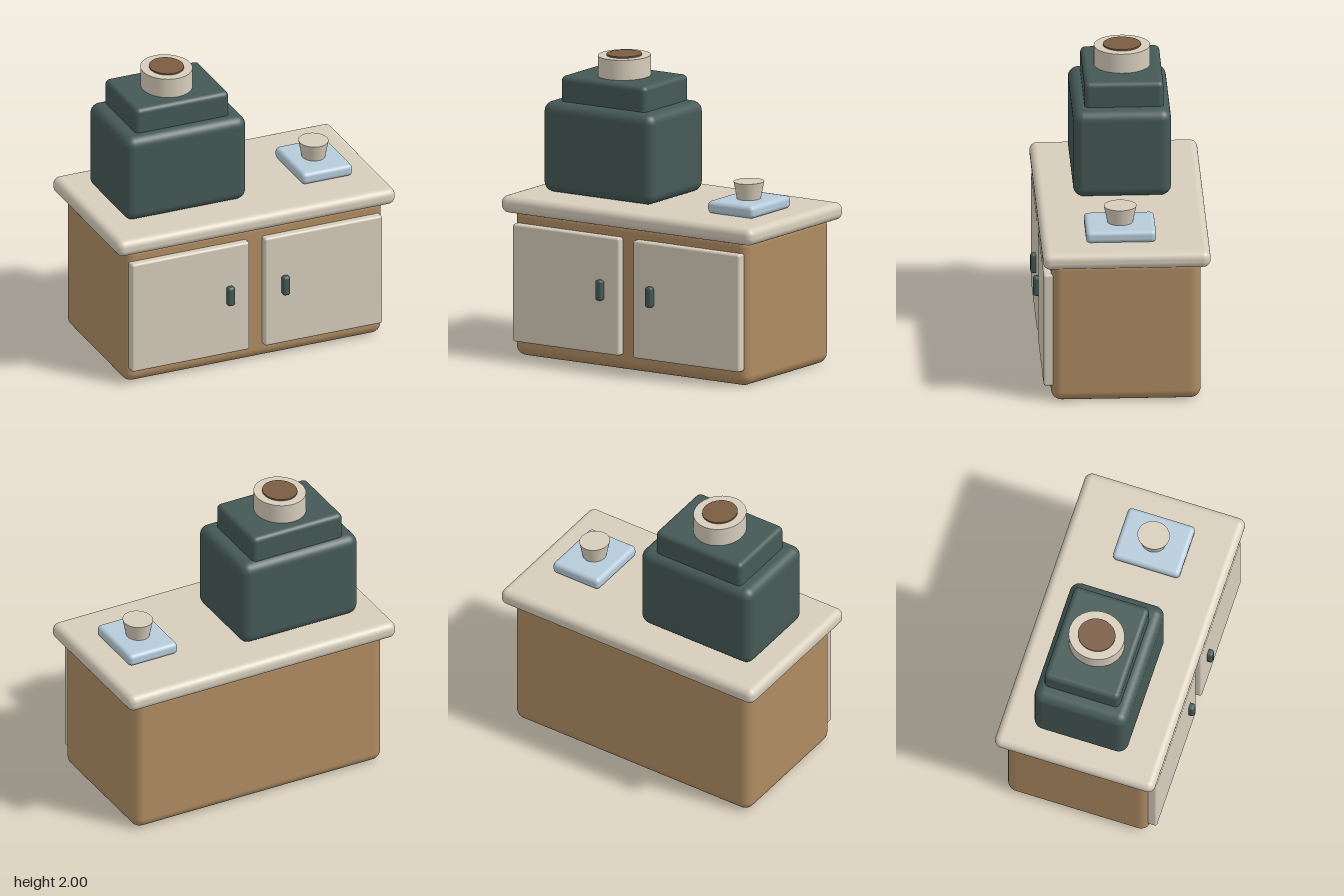
import * as THREE from 'three';
import { RoundedBoxGeometry } from 'three/addons/geometries/RoundedBoxGeometry.js';

const material = (name, color) => {
  const m = new THREE.MeshStandardMaterial({ color });
  m.name = name;
  return m;
};

export function createModel() {
  const group = new THREE.Group();
  group.name = 'coffeeCounter';

  const wood = material('wood', 0xb08c63);
  const cream = material('cream', 0xd7cdbc);
  const green = material('darkGreen', 0x455956);
  const blue = material('paleBlue', 0xb6cbda);
  const brown = material('coffeeBrown', 0x7a5c43);

  const add = (name, geometry, mat) => {
    const mesh = new THREE.Mesh(geometry, mat);
    mesh.name = name;
    group.add(mesh);
    return mesh;
  };

  // Rounded box given by its limits on each axis
  const box = (name, mat, [x0, x1], [y0, y1], [z0, z1], r) =>
    add(name, new RoundedBoxGeometry(x1 - x0, y1 - y0, z1 - z0, 5, r), mat)
      .position.set((x0 + x1) / 2, (y0 + y1) / 2, (z0 + z1) / 2);

  // Upright drum, slightly longer in z than in x
  const drum = (name, mat, rTop, rBottom, x, [y0, y1], z) => {
    const mesh = add(name, new THREE.CylinderGeometry(rTop, rBottom, y1 - y0, 48), mat);
    mesh.position.set(x, (y0 + y1) / 2, z);
    mesh.scale.z = 1.1;
  };

  // Cabinet and worktop
  box('cabinet', wood, [-0.93, 0.93], [0, 1.0], [-0.505, 0.48], 0.07);
  box('worktop', cream, [-1, 1], [0.96, 1.075], [-0.567, 0.538], 0.05);

  // Mirrored pair of doors with handles
  for (const [side, s] of [['left', 1], ['right', -1]]) {
    const span = (a, b) => (s > 0 ? [a, b] : [-b, -a]);
    box(side + 'Door', cream, span(0.055, 0.9), [0.105, 0.895], [0.46, 0.53], 0.016);
    box(side + 'Handle', green, span(0.172, 0.224), [0.465, 0.602], [0.51, 0.567], 0.018);
  }

  // Coffee machine: body, upper step, hopper and beans
  box('machineBody', green, [-0.835, 0.04], [1.077, 1.685], [-0.352, 0.293], 0.068);
  box('machineTop', green, [-0.735, -0.06], [1.6, 1.855], [-0.306, 0.215], 0.035);
  drum('hopper', cream, 0.169, 0.169, -0.4, [1.84, 1.99], -0.046);
  drum('coffeeBeans', brown, 0.113, 0.113, -0.4, [1.97, 2.0], -0.046);

  // Tray and cup
  box('tray', blue, [0.45, 0.815], [1.075, 1.158], [-0.216, 0.246], 0.03);
  drum('cup', cream, 0.098, 0.075, 0.63, [1.15, 1.272], 0.014);

  return group;
}
